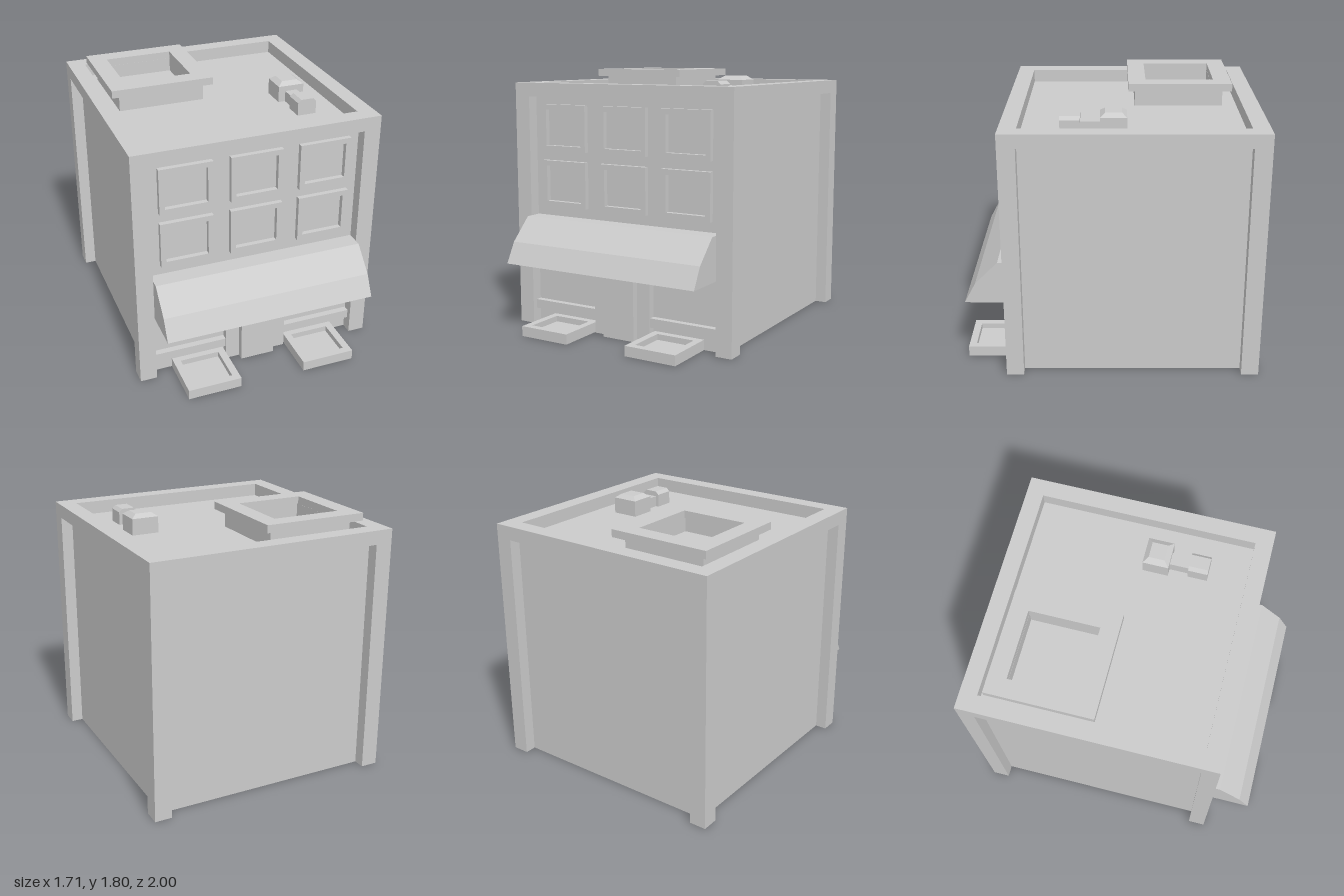
import * as THREE from 'three';

const material = new THREE.MeshStandardMaterial({ color: 0xcccccc, flatShading: true });

function add(parent, name, geometry) {
  const mesh = new THREE.Mesh(geometry, material);
  mesh.name = name;
  parent.add(mesh);
  return mesh;
}

// Box given by its minimum and maximum on each axis
function box(parent, name, [x0, x1], [y0, y1], [z0, z1]) {
  const g = new THREE.BoxGeometry(x1 - x0, y1 - y0, z1 - z0);
  g.translate((x0 + x1) / 2, (y0 + y1) / 2, (z0 + z1) / 2);
  return add(parent, name, g);
}

function rectangle(Type, a0, a1, b0, b1) {
  const p = new Type();
  p.moveTo(a0, b0);
  p.lineTo(a1, b0);
  p.lineTo(a1, b1);
  p.lineTo(a0, b1);
  p.closePath();
  return p;
}

// Rectangular frame in the xy plane, extruded towards +z
function frameGeometry([a0, a1], [b0, b1], inset, depth) {
  const shape = rectangle(THREE.Shape, a0, a1, b0, b1);
  shape.holes.push(rectangle(THREE.Path, a0 + inset, a1 - inset, b0 + inset, b1 - inset));
  return new THREE.ExtrudeGeometry(shape, { depth, bevelEnabled: false });
}

// Rectangular ring lying flat, from y0 up to y1
function flatRing(parent, name, xs, [y0, y1], [z0, z1], inset) {
  const g = frameGeometry(xs, [-z1, -z0], inset, y1 - y0);
  g.rotateX(-Math.PI / 2);
  g.translate(0, y0, 0);
  return add(parent, name, g);
}

function polygon(points) {
  return new THREE.Shape(points.map(([x, y]) => new THREE.Vector2(x, y)));
}

export function createModel() {
  const model = new THREE.Group();
  model.name = 'shopBuilding';

  const X = 0.855, BACK = -1, FRONT = 0.71, TOP = 1.715;
  const post = 0.117, recess = 0.08, eave = 1.62;
  const wall = FRONT - recess;

  // Walls, corner posts and parapet
  box(model, 'walls', [-X + recess, X - recess], [0, eave + 0.005], [BACK + recess, wall]);
  for (const x of [-X, X - post]) {
    for (const z of [BACK, FRONT - post]) {
      box(model, 'cornerPost', [x, x + post], [0, eave], [z, z + post]);
    }
  }
  flatRing(model, 'parapet', [-X, X], [eave, TOP], [BACK, FRONT], post);

  // Two rows of three framed windows
  for (const y of [0.855, 1.245]) {
    for (const x of [-0.665, -0.18, 0.305]) {
      const g = frameGeometry([x, x + 0.365], [y, y + 0.322], 0.037, 0.035);
      g.translate(0, 0, wall);
      add(model, 'windowFrame', g);
    }
  }

  // Awning with a bent slope
  const awning = new THREE.ExtrudeGeometry(
    polygon([[0.6, 0.49], [0.985, 0.49], [0.91, 0.63], [0.755, 0.785], [0.6, 0.785]]),
    { depth: 1.47, bevelEnabled: false });
  awning.rotateY(-Math.PI / 2);
  awning.scale(1, 1, 1);
  // the profile's x axis now runs along +z and the depth along -x
  awning.translate(0.735, 0, 0);
  add(model, 'awning', awning);

  // Door with side jambs
  box(model, 'door', [-0.12, 0.125], [0, 0.49], [wall - 0.02, 0.727]);
  for (const x of [-0.22, 0.125]) {
    box(model, 'doorJamb', [x, x + 0.1], [0, 0.49], [wall - 0.02, 0.68]);
  }

  // Shop window sills and planters either side of the door
  for (const [x0, x1] of [[-0.737, -0.22], [0.225, 0.737]]) {
    box(model, 'shopSill', [x0, x1], [0.103, 0.167], [wall - 0.02, 0.675]);
  }
  for (const xs of [[-0.605, -0.228], [0.235, 0.612]]) {
    flatRing(model, 'planterRim', xs, [0, 0.07], [wall, 1], 0.05);
    box(model, 'planterBed', [xs[0] + 0.04, xs[1] - 0.04], [0, 0.03], [wall, 0.96]);
  }

  // Rooftop skylight: base ring with a wider rim
  const roof = eave + 0.005;
  flatRing(model, 'skylightBase', [-0.675, -0.072], [roof, 1.745], [-0.78, -0.165], 0.064);
  flatRing(model, 'skylightRim', [-0.735, -0.014], [1.745, 1.797], [-0.84, -0.118], 0.123);
  box(model, 'skylightFloor', [-0.64, -0.11], [roof, 1.65], [-0.74, -0.21]);

  // Rooftop vent: box with a hipped cap
  box(model, 'ventBox', [0.403, 0.59], [roof, 1.737], [-0.102, 0.073]);
  const cap = new THREE.BoxGeometry(0.187, 0.026, 0.175);
  const p = cap.attributes.position;
  for (let i = 0; i < p.count; i++) {
    if (p.getY(i) > 0) p.setXYZ(i, p.getX(i) * 0.6, p.getY(i), p.getZ(i) * 0.62);
  }
  cap.computeVertexNormals();
  cap.translate(0.4965, 1.75, -0.0145);
  add(model, 'ventCap', cap);

  // Duct and its chamfered outlet
  box(model, 'ventDuct', [0.453, 0.54], [roof, 1.7], [0.07, 0.205]);
  const outlet = new THREE.ExtrudeGeometry(
    polygon([[0.43, roof], [0.563, roof], [0.563, 1.714], [0.54, 1.736], [0.453, 1.736], [0.43, 1.714]]),
    { depth: 0.132, bevelEnabled: false });
  outlet.translate(0, 0, 0.202);
  add(model, 'ventOutlet', outlet);

  return model;
}
